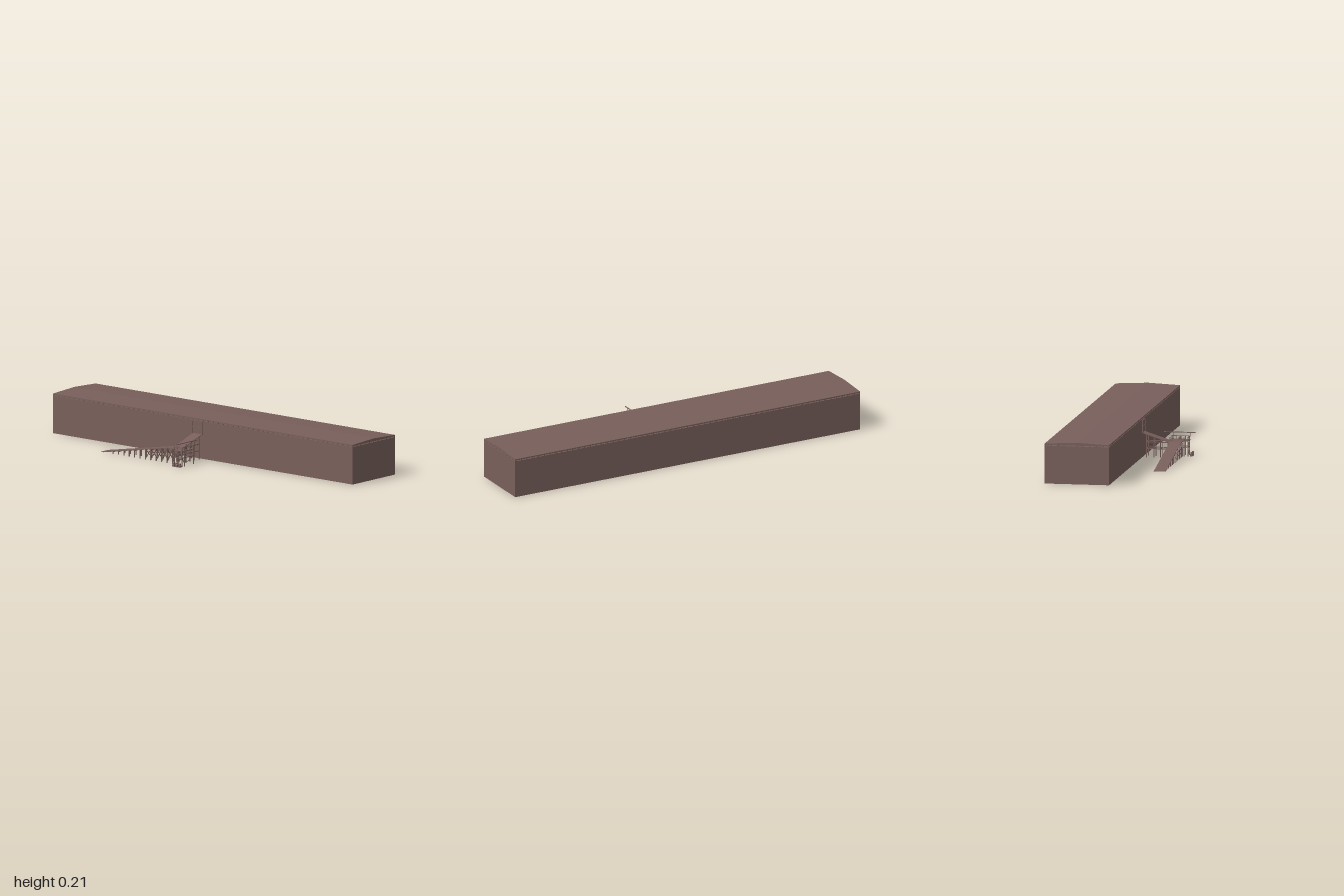
import * as THREE from 'three';

const timber = new THREE.MeshStandardMaterial({ color: 0x785f5b });
timber.name = 'brown timber';

// Box given by its minimum and maximum corners
function block(parent, name, x0, x1, y0, y1, z0, z1) {
  const m = new THREE.Mesh(new THREE.BoxGeometry(x1 - x0, y1 - y0, z1 - z0), timber);
  m.position.set((x0 + x1) / 2, (y0 + y1) / 2, (z0 + z1) / 2);
  m.name = name;
  parent.add(m);
  return m;
}

// Square beam between two points
function beam(parent, name, a, b, t = 0.004) {
  const p = new THREE.Vector3(...a), q = new THREE.Vector3(...b);
  const m = new THREE.Mesh(new THREE.BoxGeometry(t, t, p.distanceTo(q)), timber);
  m.position.copy(p).lerp(q, 0.5);
  m.lookAt(q);
  m.name = name;
  parent.add(m);
}

// Extruded outline: points run in x/y, depth runs along +z
function prism(parent, name, pts, depth) {
  const shape = new THREE.Shape(pts.map(p => new THREE.Vector2(...p)));
  const m = new THREE.Mesh(new THREE.ExtrudeGeometry(shape, { depth, bevelEnabled: false }), timber);
  m.name = name;
  parent.add(m);
  return m;
}

function group(parent, name) {
  const g = new THREE.Group();
  g.name = name;
  parent.add(g);
  return g;
}

// Long hall with a low gable roof raised on short studs
function addHall(root) {
  const hall = group(root, 'hall');
  const front = 0.04, back = -0.293, mid = (front + back) / 2;
  block(hall, 'hallWalls', -1, 1, 0, 0.195, back, front);
  const roof = prism(hall, 'gableRoof',
    [[-front, 0.199], [-back, 0.199], [-back, 0.206], [-mid, 0.214], [-front, 0.206]], 2);
  roof.rotation.y = Math.PI / 2;
  roof.position.x = -1;
  for (let i = 0; i <= 60; i++) {
    const x = -0.997 + i * 1.994 / 60;
    for (const z of [front - 0.003, back + 0.003])
      block(hall, 'eaveStud', x - 0.003, x + 0.003, 0.195, 0.199, z - 0.003, z + 0.003);
  }
  for (let i = 1; i < 10; i++) {
    const z = back + i * (front - back) / 10;
    for (const x of [-0.997, 0.997])
      block(hall, 'gableStud', x - 0.003, x + 0.003, 0.195, 0.199, z - 0.003, z + 0.003);
  }
  // Doorway at the top of the short ramp
  const door = group(hall, 'doorway');
  block(door, 'doorPanel', -0.064, -0.006, 0.127, 0.188, front, 0.042);
  for (const x of [-0.068, -0.006]) block(door, 'doorJamb', x, x + 0.004, 0.125, 0.192, front, 0.045);
  for (const y of [0.158, 0.188]) block(door, 'doorRail', -0.066, -0.004, y, y + 0.004, front, 0.045);
}

// Long ramp climbing along the hall, on braced trestles
function addLongRamp(root) {
  const ramp = group(root, 'longRamp');
  const x0 = -0.51, x1 = -0.065, top = 0.081;
  const height = x => top * Math.min(1, (x - x0) / (x1 - x0));
  const deck = prism(ramp, 'longRampDeck',
    [[x0, 0], [x0 + 0.016, 0], [x1, top - 0.003], [0, top - 0.003], [0, top], [x1, top], [x0, 0.001]], 0.06);
  deck.position.z = 0.181;
  const n = 12, step = 0.036, sx = -0.432;
  for (let i = 0; i <= n; i++) {
    const x = sx + i * step, y = height(x) - 0.002;
    for (const z of [0.185, 0.237]) {
      beam(ramp, 'rampPost', [x, 0, z], [x, y, z]);
      if (i > 5 && i < n) {
        beam(ramp, 'rampBrace', [x, 0.003, z], [x + step, height(x + step) - 0.004, z], 0.003);
        beam(ramp, 'rampTie', [x, 0.045, z], [x + step, 0.045, z], 0.003);
      }
    }
    beam(ramp, 'rampCrossTie', [x, y - 0.002, 0.183], [x, y - 0.002, 0.239]);
    if (i > 5) beam(ramp, 'rampCrossBrace', [x, 0.003, 0.185], [x, y, 0.237], 0.003);
  }
}

// Short ramp from the landing up to the hall doorway
function addShortRamp(root) {
  const ramp = group(root, 'shortRamp');
  const deck = prism(ramp, 'shortRampDeck',
    [[-0.182, 0.078], [-0.04, 0.124], [-0.04, 0.127], [-0.182, 0.081]].map(([z, y]) => [z, y]), 0.06);
  deck.rotation.y = Math.PI / 2;
  deck.position.x = -0.065;
  for (const x of [-0.062, -0.008]) {
    for (const z of [0.172, 0.133, 0.1, 0.062])
      beam(ramp, 'shortRampPost', [x, 0, z], [x, 0.079 + (0.182 - z) * 0.32, z]);
    for (const y of [0.045, 0.079]) beam(ramp, 'sideRail', [x, y, 0.172], [x, y, 0.062]);
  }
  for (const z of [0.172, 0.133, 0.1, 0.062])
    for (const y of [0.045, 0.079]) beam(ramp, 'crossRail', [-0.062, y, z], [-0.008, y, z]);
}

// Landing with railings, hoist beam and stacked crates
function addLanding(root) {
  const landing = group(root, 'landing');
  block(landing, 'landingDeck', -0.004, 0.054, 0.078, 0.082, 0.168, 0.267);
  for (const x of [0, 0.05]) {
    for (const z of [0.172, 0.243, 0.264]) beam(landing, 'landingPost', [x, 0, z], [x, 0.098, z]);
    beam(landing, 'landingTie', [x, 0.045, 0.172], [x, 0.045, 0.264]);
  }
  for (const z of [0.172, 0.264]) {
    beam(landing, 'landingCrossTie', [0, 0.045, z], [0.05, 0.045, z]);
    beam(landing, 'lowerBrace', [0, 0.003, z], [0.05, 0.043, z], 0.003);
    beam(landing, 'upperBrace', [0, 0.045, z], [0.05, 0.078, z], 0.003);
  }
  // Handrail round the outer sides
  beam(landing, 'handrail', [0.05, 0.098, 0.17], [0.05, 0.098, 0.266], 0.003);
  beam(landing, 'handrail', [0, 0.098, 0.264], [0.05, 0.098, 0.264], 0.003);
  for (const z of [0.195, 0.22]) beam(landing, 'railPost', [0.05, 0.08, z], [0.05, 0.098, z], 0.002);
  // Hoist beam
  for (const z of [0.181, 0.272]) beam(landing, 'hoistPost', [0.04, z > 0.2 ? 0.098 : 0.08, z], [0.04, 0.118, z], 0.002);
  beam(landing, 'hoistBeam', [0.04, 0.118, 0.133], [0.04, 0.118, 0.295], 0.004);
  // Crates on the deck and on the ground
  const crates = [[0.032, 0.082, 0.218, 0.014], [0.032, 0.092, 0.219, 0.008], [0.03, 0.082, 0.178, 0.009],
    [0.012, 0, 0.28, 0.014], [0.032, 0, 0.28, 0.014], [0.05, 0, 0.28, 0.013], [0.013, 0.013, 0.281, 0.01], [0.05, 0.012, 0.281, 0.01]];
  for (const [x, y, z, s] of crates)
    block(landing, 'crate', x - s / 2, x + s / 2, y, y + s * 0.8, z - s / 2, z + s / 2);
}

export function createModel() {
  const root = new THREE.Group();
  root.name = 'hallWithRamps';
  addHall(root);
  addLongRamp(root);
  addShortRamp(root);
  addLanding(root);
  return root;
}
